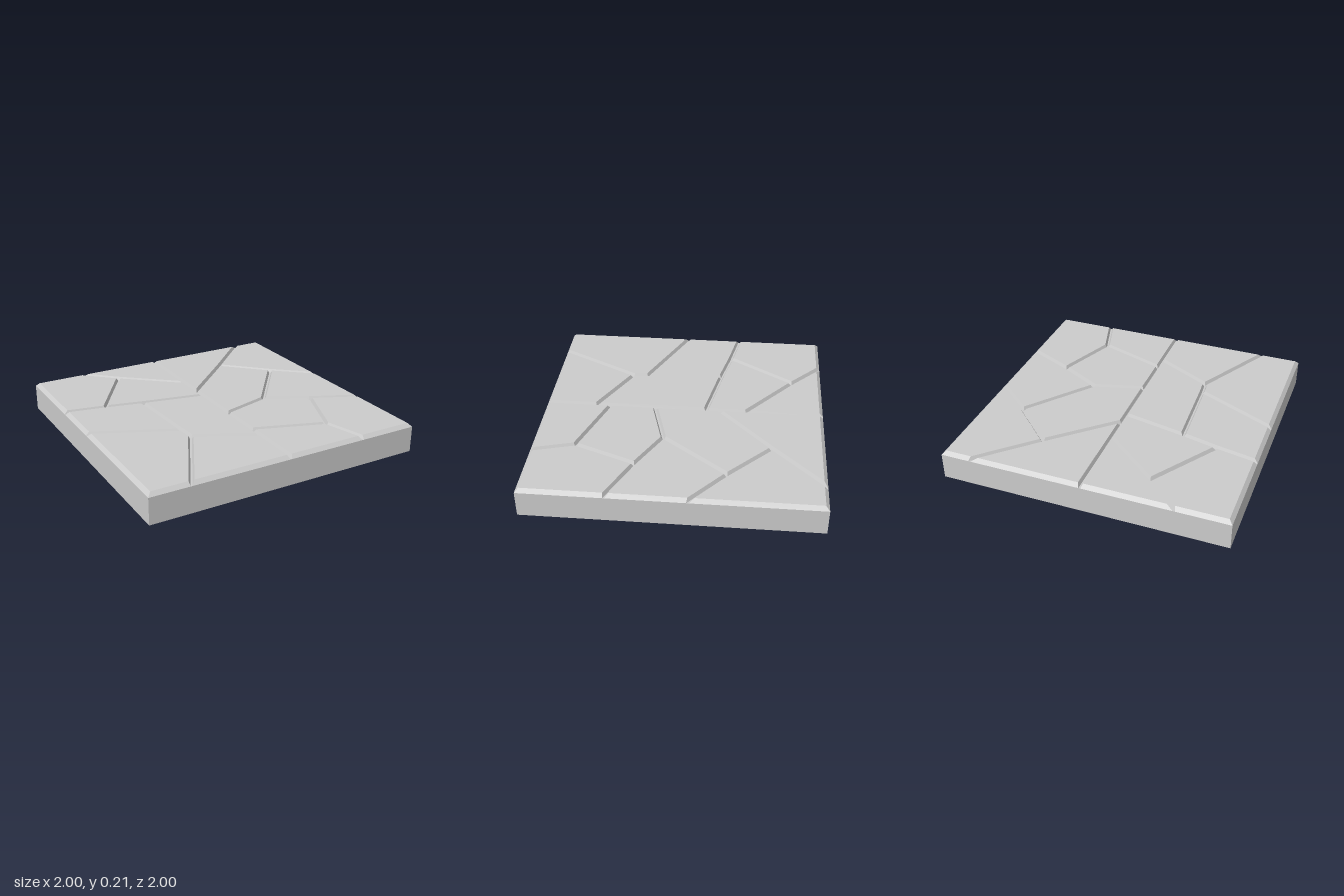
import * as THREE from 'three';

const FLOOR = 0.185, TOP = 0.21;      // groove floor and stone top heights
const BEVEL = 0.025;                  // chamfer width along the slab rim
const GROOVE_FLOOR = 0.006, GROOVE = 0.018; // half widths of a groove, bottom and top

// Joints where the cracks meet, as [x, z]
const J = {
  nw: [-1, -1], ne: [1, -1], se: [1, 1], sw: [-1, 1],
  // on the rim
  n1: [-0.63, -1], n2: [0, -1], n3: [0.79, -1], e1: [1, -0.11], e2: [1, 0.425],
  s1: [-0.715, 1], s2: [0, 1], s3: [0.575, 1], w1: [-1, -0.365], w2: [-1, 0.04],
  // on the middle crack
  m1: [0, -0.45], m2: [0, -0.25], m3: [0, -0.16], m4: [0, 0.21], m5: [0, 0.53], m6: [0, 0.635],
  // left half
  a: [-0.4, -0.785], b: [-0.71, -0.31], c: [-0.45, -0.25], d: [-0.42, 0.31], e: [-0.41, 0.42],
  // right half
  f: [0.42, -0.64], g: [0.72, -0.35], h: [0.36, 0.11], i: [0.66, 0.27], j: [0.49, 0.7],
};

// Stones, each a clockwise walk around its joints
const STONES = [
  'n1 n2 m1 a', 'nw n1 a b w1', 'a m1 m3 c b', 'w1 b c d w2', 'c m3 m6 e d',
  'w2 d e s1 sw', 'e m6 s2 s1', 'n2 n3 f m2', 'n3 ne e1 g f', 'f g h m4 m2',
  'g e1 e2 i h', 'm4 h i j m5', 'm5 j s3 s2', 'i e2 se s3 j',
].map((s) => s.split(' ').map((k) => J[k]));

const onRim = (p, q) => [0, 1].some((k) => p[k] === q[k] && Math.abs(p[k]) === 1);

// Move every side of a loop inwards, by one distance on the rim and another at a crack
function inset(loop, rim, crack) {
  const n = loop.length;
  const sides = loop.map((p, i) => {
    const q = loop[(i + 1) % n];
    const dx = q[0] - p[0], dz = q[1] - p[1], len = Math.hypot(dx, dz);
    return { nx: -dz / len, nz: dx / len, d: onRim(p, q) ? rim : crack };
  });
  return loop.map((p, i) => {
    const s = sides[(i + n - 1) % n], t = sides[i];
    const det = s.nx * t.nz - s.nz * t.nx;
    if (Math.abs(det) < 0.02) return [p[0] + t.nx * t.d, p[1] + t.nz * t.d];
    return [p[0] + (s.d * t.nz - t.d * s.nz) / det, p[1] + (s.nx * t.d - t.nx * s.d) / det];
  });
}

const at = (loop, y) => loop.map(([x, z]) => new THREE.Vector3(x, y, z));

// Band of quads between two loops
function band(out, outer, inner) {
  outer.forEach((o, i) => {
    const k = (i + 1) % outer.length;
    out.push(o, inner[i], inner[k], o, inner[k], outer[k]);
  });
}

// Flat upward face filling a loop
function cap(out, loop) {
  const flat = loop.map((v) => new THREE.Vector2(v.x, v.z));
  for (const [a, b, c] of THREE.ShapeUtils.triangulateShape(flat, [])) {
    const [p, q, r] = [loop[a], loop[b], loop[c]];
    const up = (q.z - p.z) * (r.x - p.x) - (q.x - p.x) * (r.z - p.z) > 0;
    out.push(p, ...(up ? [q, r] : [r, q]));
  }
}

function createModel() {
  const group = new THREE.Group();
  group.name = 'crackedStoneSlab';
  const material = new THREE.MeshStandardMaterial({
    color: 0xcccccc, flatShading: true, side: THREE.DoubleSide,
  });
  const add = (name, points) => {
    const geometry = new THREE.BufferGeometry().setFromPoints(points);
    geometry.computeVertexNormals();
    const mesh = new THREE.Mesh(geometry, material);
    mesh.name = name;
    group.add(mesh);
  };

  // Side walls, open underneath
  const rim = [J.nw, J.ne, J.se, J.sw], walls = [];
  band(walls, at(rim, 0), at(rim, FLOOR));
  add('sideWalls', walls);

  // Bevelled stones, and the groove floor left between them
  const grooves = [];
  STONES.forEach((cell, i) => {
    const stone = [];
    const foot = at(inset(cell, 0, GROOVE_FLOOR), FLOOR);
    const top = at(inset(cell, BEVEL, GROOVE), TOP);
    band(grooves, at(cell, FLOOR), foot);
    band(stone, foot, top);
    cap(stone, top);
    add(`stone${i + 1}`, stone);
  });
  add('grooveFloor', grooves);
  return group;
}

export { createModel };
